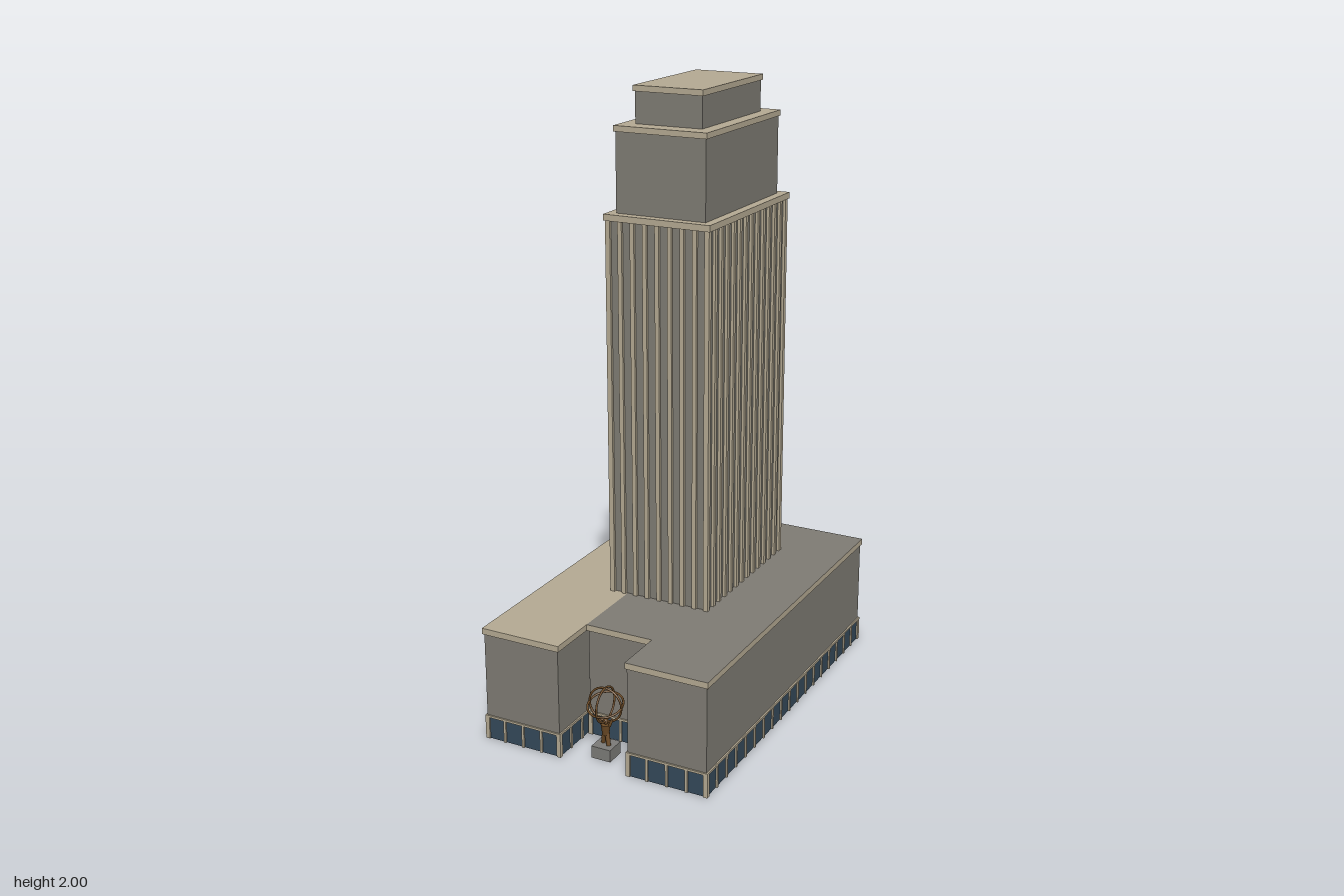
import * as THREE from 'three';

const mat = (name, color) => {
  const m = new THREE.MeshStandardMaterial({ color });
  m.name = name;
  return m;
};

export function createModel() {
  const stone = mat('light stone', 0xb5aa93);
  const wall = mat('grey wall', 0x7f7c74);
  const glass = mat('blue glass', 0x34495a);
  const bronze = mat('bronze', 0x6b4a26);
  const plinthGrey = mat('plinth grey', 0x7c7b78);

  const model = new THREE.Group();
  model.name = 'towerBuilding';
  const group = (name) => {
    const g = new THREE.Group();
    g.name = name;
    model.add(g);
    return g;
  };
  const add = (parent, name, geometry, material) => {
    const m = new THREE.Mesh(geometry, material);
    m.name = name;
    parent.add(m);
    return m;
  };
  // Box given by its low and high limits on each axis
  const box = (parent, name, x, y, z, material) => {
    const g = new THREE.BoxGeometry(x[1] - x[0], y[1] - y[0], z[1] - z[0]);
    g.translate((x[0] + x[1]) / 2, (y[0] + y[1]) / 2, (z[0] + z[1]) / 2);
    return add(parent, name, g, material);
  };
  const inset = ([a, b], d) => [a + d, b - d];

  // Evenly spaced vertical posts around a rectangle
  const posts = (parent, name, x, z, y, nx, nz, width, depth, material) => {
    const h = width / 2, d = depth / 2;
    const post = (px, pz, hx, hz) =>
      box(parent, name, [px - hx, px + hx], y, [pz - hz, pz + hz], material);
    for (let i = 0; i <= nx; i++) {
      const px = x[0] + h + ((x[1] - x[0] - width) * i) / nx;
      post(px, z[0] + d, h, d);
      post(px, z[1] - d, h, d);
    }
    for (let i = 0; i <= nz; i++) {
      const pz = z[0] + h + ((z[1] - z[0] - width) * i) / nz;
      post(x[0] + d, pz, d, h);
      post(x[1] - d, pz, d, h);
    }
  };

  // Podium block: open glazed ground floor, wall and roof band
  const block = (name, x, z, nx, nz, roof) => {
    const g = group(name);
    const xi = inset(x, 0.005), zi = inset(z, 0.005);
    box(g, 'wall', xi, [0.08, 0.36], zi, wall);
    box(g, 'roofBand', x, [0.36, 0.38], z, [stone, stone, roof, stone, stone, stone]);
    const t = 0.008, y = [0, 0.08];
    for (const [a, b] of [[xi[0], xi[0] + t], [xi[1] - t, xi[1]]]) box(g, 'glazing', [a, b], y, zi, glass);
    for (const [a, b] of [[zi[0], zi[0] + t], [zi[1] - t, zi[1]]]) box(g, 'glazing', xi, y, [a, b], glass);
    posts(g, 'mullion', x, z, y, nx, nz, 0.008, 0.014, stone);
    // Slim transom over the glass
    const s = [0.074, 0.081];
    for (const e of [0, 1]) {
      const o = e ? -0.007 : 0;
      box(g, 'transom', [x[e] + o, x[e] + o + 0.007], s, z, stone);
      box(g, 'transom', x, s, [z[e] + o, z[e] + o + 0.007], stone);
    }
  };
  block('rightWing', [-0.39, -0.116], [-0.6, 0.6], 4, 18, stone);
  block('leftWing', [0.114, 0.39], [-0.6, 0.6], 4, 18, wall);
  block('middleBlock', [-0.116, 0.114], [-0.6, 0.43], 4, 16, wall);

  // Tower shaft with vertical fins
  const shaft = group('towerShaft');
  const tx = [-0.18, 0.18], tz = [-0.39, 0.18];
  box(shaft, 'shaftWall', inset(tx, 0.013), [0.37, 1.6], inset(tz, 0.013), wall);
  posts(shaft, 'fin', inset(tx, 0.004), inset(tz, 0.004), [0.38, 1.6], 8, 13, 0.014, 0.016, stone);
  box(shaft, 'shaftCap', tx, [1.6, 1.62], tz, stone);

  // Stepped crown
  const crown = group('crown');
  const steps = [
    [[-0.156, 0.156], [-0.363, 0.155], 1.62, 1.885],
    [[-0.117, 0.117], [-0.312, 0.102], 1.885, 2],
  ];
  for (const [x, z, y0, y1] of steps) {
    box(crown, 'stepWall', inset(x, 0.005), [y0, y1 - 0.018], inset(z, 0.005), wall);
    box(crown, 'stepCap', x, [y1 - 0.018, y1], z, stone);
  }

  // Forecourt sculpture: figure holding an open globe of rings
  const statue = group('sculpture');
  statue.position.set(0, 0, 0.52);
  box(statue, 'plinth', [-0.033, 0.033], [0, 0.04], [-0.033, 0.033], plinthGrey);
  const rod = (name, a, b, r0, r1) => {
    const p = new THREE.Vector3(...a), q = new THREE.Vector3(...b);
    const m = add(statue, name, new THREE.CylinderGeometry(r1, r0, p.distanceTo(q), 8), bronze);
    m.position.copy(p).add(q).multiplyScalar(0.5);
    m.quaternion.setFromUnitVectors(new THREE.Vector3(0, 1, 0), q.sub(p).normalize());
  };
  rod('torso', [0, 0.072, 0], [0, 0.108, 0], 0.011, 0.016);
  add(statue, 'head', new THREE.SphereGeometry(0.009, 12, 8), bronze).position.y = 0.117;
  for (const s of [-1, 1]) {
    rod('leg', [s * 0.013, 0.04, s * 0.006], [s * 0.005, 0.078, 0], 0.007, 0.008);
    rod('arm', [s * 0.013, 0.104, 0], [s * 0.024, 0.13, 0], 0.005, 0.004);
  }
  const rings = [[0, 0, 0], [0, Math.PI / 2, 0], [Math.PI / 2 + 0.32, 0, 0]];
  for (const r of rings) {
    const ring = add(statue, 'globeRing', new THREE.TorusGeometry(0.056, 0.0035, 8, 40), bronze);
    ring.position.y = 0.175;
    ring.rotation.set(...r);
  }
  return model;
}
